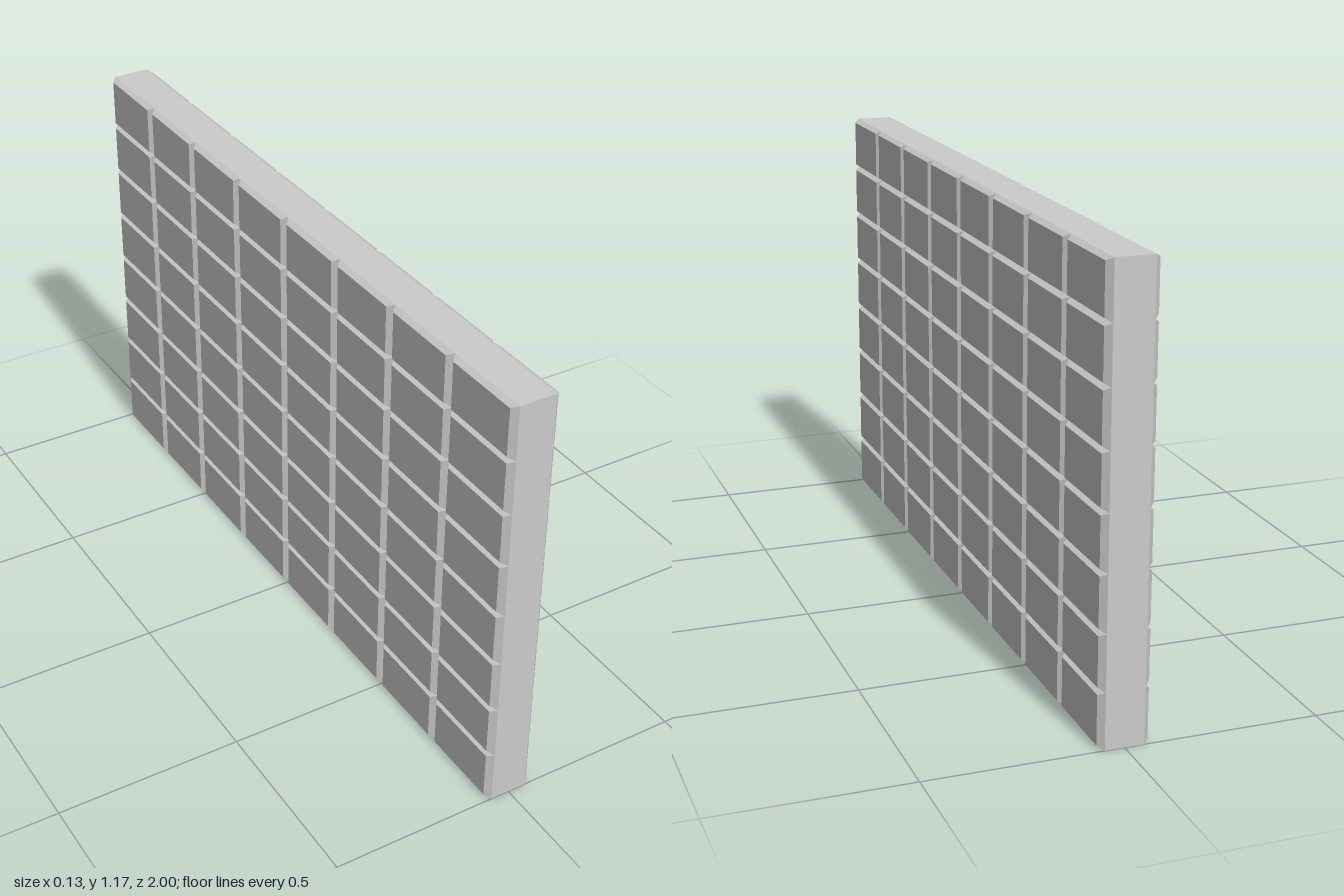
import * as THREE from 'three';

const LENGTH = 2, HEIGHT = 1.172, CORE = 0.1, RELIEF = 0.015;
const ROWS = 8, COLS = 8;
const BEVEL_Y = 0.009, BEVEL_Z = 0.0155;

// Block whose outer (+x) face is drawn in on all four sides
function createBlockGeometry(height, length) {
  const geometry = new THREE.BoxGeometry(RELIEF, height, length);
  const p = geometry.attributes.position;
  for (let i = 0; i < p.count; i++) {
    if (p.getX(i) < 0) continue;
    p.setY(i, p.getY(i) - Math.sign(p.getY(i)) * BEVEL_Y);
    p.setZ(i, p.getZ(i) - Math.sign(p.getZ(i)) * BEVEL_Z);
  }
  geometry.computeVertexNormals();
  return geometry;
}

export function createModel() {
  const model = new THREE.Group();
  model.name = 'blockWall';
  const material = new THREE.MeshStandardMaterial({ color: 0xcccccc });

  // Solid wall core
  const core = new THREE.Mesh(new THREE.BoxGeometry(CORE, HEIGHT, LENGTH), material);
  core.name = 'wallCore';
  core.position.y = HEIGHT / 2;
  model.add(core);

  // Bevelled blocks in a grid on both broad faces
  const h = HEIGHT / ROWS, l = LENGTH / COLS;
  const blockGeometry = createBlockGeometry(h, l);
  for (const side of ['left', 'right']) {
    const face = new THREE.Group();
    face.name = side + 'Blocks';
    if (side === 'right') face.rotation.y = Math.PI;
    for (let row = 0; row < ROWS; row++) {
      for (let col = 0; col < COLS; col++) {
        const block = new THREE.Mesh(blockGeometry, material);
        block.name = 'block';
        block.position.set((CORE + RELIEF) / 2, (row + 0.5) * h, (col + 0.5) * l - LENGTH / 2);
        face.add(block);
      }
    }
    model.add(face);
  }
  return model;
}
